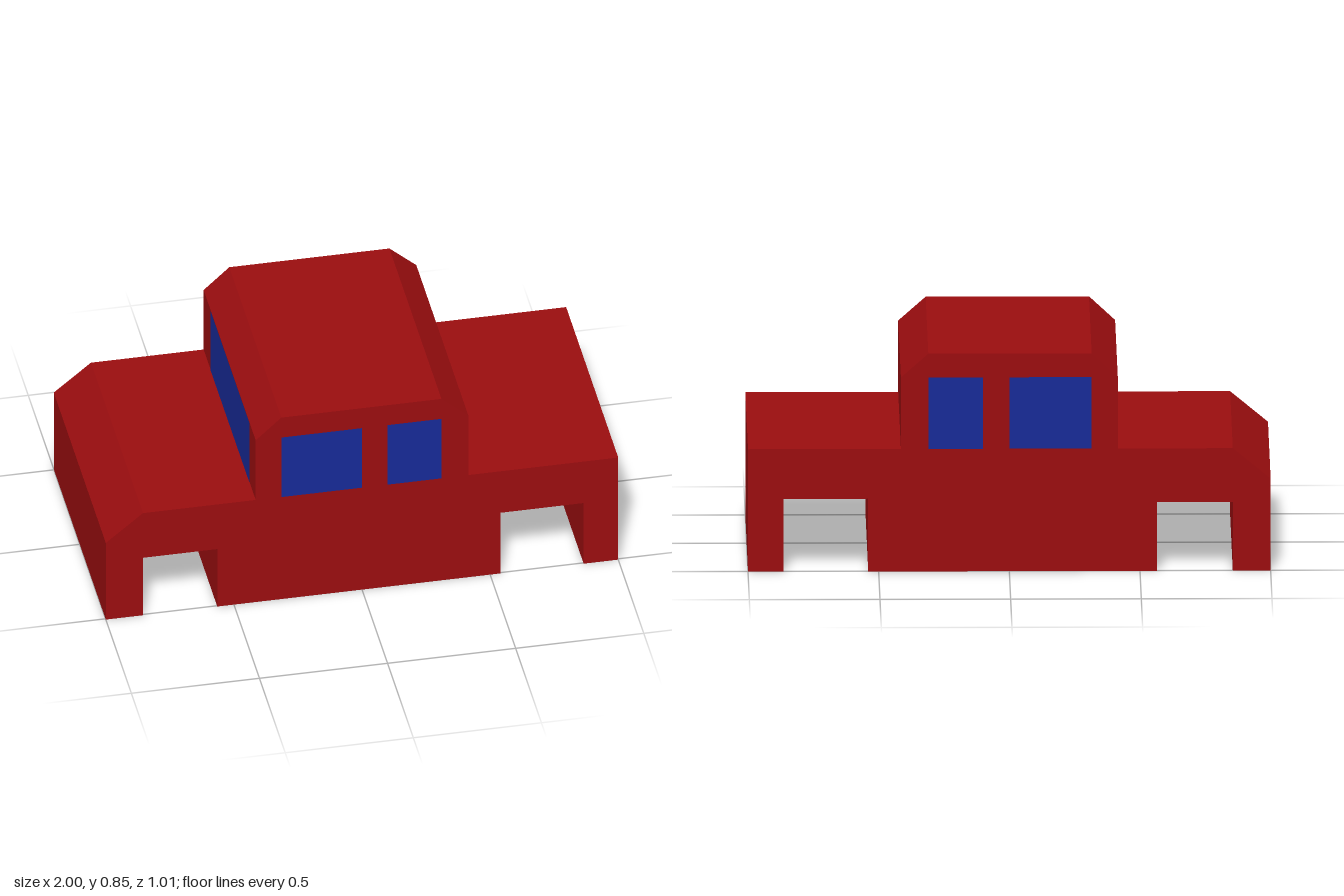
import * as THREE from 'three';

const WIDTH = 1.01;

export function createModel() {
  const model = new THREE.Group();
  const paint = new THREE.MeshStandardMaterial({ color: 0x9a0d0f, flatShading: true });
  const glass = new THREE.MeshStandardMaterial({ color: 0x172a96, flatShading: true });

  // Body: side profile with wheel arches cut right through, extruded across the width
  const profile = [
    [-1, 0], [-0.855, 0], [-0.855, 0.27], [-0.565, 0.27], [-0.565, 0],
    [0.54, 0], [0.54, 0.285], [0.865, 0.285], [0.865, 0], [1, 0],
    [1, 0.48], [0.415, 0.48], [0.415, 0.76], [0.31, 0.853],
    [-0.315, 0.853], [-0.415, 0.76], [-0.415, 0.48], [-0.855, 0.48], [-1, 0.36],
  ].map(([x, y]) => new THREE.Vector2(x, y));
  const bodyGeometry = new THREE.ExtrudeGeometry(new THREE.Shape(profile), {
    depth: WIDTH, bevelEnabled: false,
  });
  bodyGeometry.translate(0, 0, -WIDTH / 2);
  const body = new THREE.Mesh(bodyGeometry, paint);
  body.name = 'body';
  model.add(body);

  // Flush panes, lifted just clear of the paint
  const addPane = (name, width, x, z, turn) => {
    const pane = new THREE.Mesh(new THREE.PlaneGeometry(width, 0.28), glass);
    pane.name = name;
    pane.position.set(x, 0.62, z);
    pane.rotation.y = turn;
    model.add(pane);
  };

  // Side windows, the same on both sides
  for (const side of [1, -1]) {
    const z = side * (WIDTH / 2 + 0.001);
    const turn = side > 0 ? 0 : Math.PI;
    const label = side > 0 ? 'front' : 'back';
    addPane(label + 'LargeWindow', 0.315, -0.1575, z, turn);
    addPane(label + 'SmallWindow', 0.21, 0.205, z, turn);
  }

  // Windshield above the sloped hood
  addPane('windshield', 0.76, -0.416, 0.01, -Math.PI / 2);

  return model;
}
